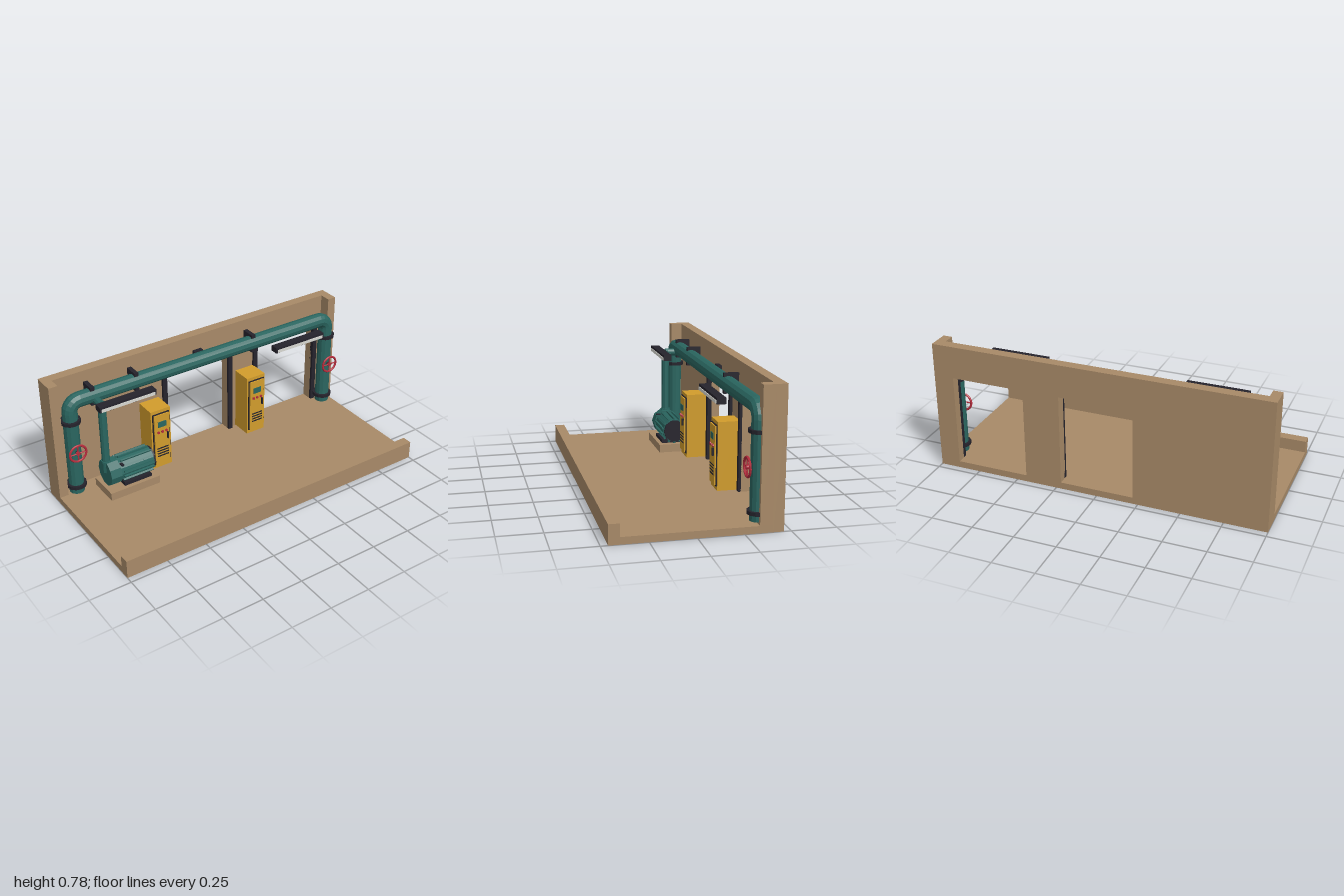
import * as THREE from 'three';

const mat = (color, flatShading = true) => new THREE.MeshStandardMaterial({ color, flatShading });
const STONE = mat(0xa88a68), TEAL = mat(0x2a6660), DARK = mat(0x25232c);
const YELLOW = mat(0xd19c2c), RED = mat(0xb42c3c), WHITE = mat(0xd8d8d2);

function add(parent, name, geometry, material, x = 0, y = 0, z = 0) {
  const mesh = new THREE.Mesh(geometry, material);
  mesh.name = name;
  mesh.position.set(x, y, z);
  parent.add(mesh);
  return mesh;
}

// Box given by its limits on each axis
function box(parent, name, material, [x0, x1], [y0, y1], [z0, z1]) {
  return add(parent, name, new THREE.BoxGeometry(x1 - x0, y1 - y0, z1 - z0), material,
    (x0 + x1) / 2, (y0 + y1) / 2, (z0 + z1) / 2);
}

// Cylinder between two points
function rod(parent, name, material, a, b, r, sides = 12) {
  const p = new THREE.Vector3(...a), d = new THREE.Vector3(...b).sub(p);
  const mesh = add(parent, name, new THREE.CylinderGeometry(r, r, d.length(), sides), material);
  mesh.position.copy(p).addScaledVector(d, 0.5);
  mesh.quaternion.setFromUnitVectors(new THREE.Vector3(0, 1, 0), d.normalize());
  return mesh;
}

function group(parent, name, x = 0, y = 0, z = 0) {
  const g = new THREE.Group();
  g.name = name;
  g.position.set(x, y, z);
  parent.add(g);
  return g;
}

const DOORS = [[-0.22, 0.22], [0.44, 0.88]];

function buildRoom(root) {
  const room = group(root, 'room');
  box(room, 'floor', STONE, [-1, 1], [0, 0.04], [-0.4, 0.4]);
  box(room, 'frontCurb', STONE, [-1, 1], [0, 0.112], [0.4, 0.46]);

  // Back wall with two doorways
  const rect = (C, x0, x1, y0, y1) => new C([[x0, y0], [x1, y0], [x1, y1], [x0, y1]]
    .map(p => new THREE.Vector2(...p)));
  const wall = rect(THREE.Shape, -1, 1, 0, 0.78);
  for (const [x0, x1] of DOORS) wall.holes.push(rect(THREE.Path, x0, x1, 0.04, 0.585));
  add(room, 'backWall', new THREE.ExtrudeGeometry(wall, { depth: 0.06, bevelEnabled: false }),
    STONE, 0, 0, -0.46);
  box(room, 'rightPier', STONE, [-1, -0.945], [0.04, 0.78], [-0.4, -0.33]);
  box(room, 'leftPier', STONE, [0.945, 1], [0.04, 0.78], [-0.4, -0.33]);

  // Door frames
  for (const [x0, x1] of DOORS) {
    const frame = group(room, 'doorFrame');
    box(frame, 'jamb', DARK, [x0 - 0.03, x0], [0.04, 0.585], [-0.41, -0.384]);
    box(frame, 'jamb', DARK, [x1, x1 + 0.03], [0.04, 0.585], [-0.41, -0.384]);
    box(frame, 'lintel', DARK, [x0 - 0.03, x1 + 0.03], [0.583, 0.612], [-0.41, -0.384]);
  }
  box(room, 'doorSignalBox', DARK, [-0.03, 0.03], [0.6, 0.685], [-0.4, -0.374]);
}

function buildPipes(root) {
  const pipes = group(root, 'mainPipe');
  const r = 0.045, bend = 0.06, y = 0.65, z = -0.337, left = 0.935, right = -0.885;
  rod(pipes, 'overheadPipe', TEAL, [right + bend, y, z], [left - bend, y, z], r);

  for (const [x, side] of [[left, 1], [right, -1]]) {
    rod(pipes, 'verticalPipe', TEAL, [x, 0.05, z], [x, y - bend, z], r);
    const elbow = add(pipes, 'elbow', new THREE.TorusGeometry(bend, r, 12, 5, Math.PI / 2),
      TEAL, x - side * bend, y - bend, z);
    if (side < 0) elbow.rotation.z = Math.PI / 2;
    for (const fy of [0.097, 0.53])
      rod(pipes, 'flange', DARK, [x, fy - 0.01, z], [x, fy + 0.01, z], 0.06);

    // Hand wheel on a short stem
    const valve = group(pipes, 'valve', x, 0.34, -0.275);
    add(valve, 'wheelRim', new THREE.TorusGeometry(0.052, 0.007, 6, 20), RED);
    rod(valve, 'wheelSpoke', RED, [-0.05, 0, 0], [0.05, 0, 0], 0.004, 6);
    rod(valve, 'wheelSpoke', RED, [0, -0.05, 0], [0, 0.05, 0], 0.004, 6);
    rod(valve, 'wheelHub', RED, [0, 0, -0.007], [0, 0, 0.007], 0.012, 8);
    rod(valve, 'valveStem', DARK, [0, 0, -0.03], [0, 0, 0], 0.008, 8);
  }

  // Wall brackets
  for (const x of [-0.745, -0.462, 0.356])
    box(pipes, 'pipeBracket', DARK, [x - 0.013, x + 0.013], [0.594, 0.71], [-0.4, -0.313]);
}

function buildPump(root) {
  const pump = group(root, 'pumpSet');
  const y = 0.174, z = -0.234;
  box(pump, 'plinth', STONE, [-0.765, -0.44], [0.04, 0.09], [-0.33, -0.135]);
  box(pump, 'baseRail', DARK, [-0.66, -0.48], [0.09, 0.11], [-0.308, -0.16]);
  rod(pump, 'pumpCasing', TEAL, [-0.745, y, z], [-0.675, y, z], 0.082, 10);
  rod(pump, 'motorBody', TEAL, [-0.675, y, z], [-0.455, y, z], 0.073, 12);
  rod(pump, 'fanCover', DARK, [-0.463, y, z], [-0.443, y, z], 0.07, 10);

  // Cooling fins around the motor
  for (let i = 0; i < 14; i++) {
    const a = i / 14 * Math.PI * 2;
    const fin = add(pump, 'coolingFin', new THREE.BoxGeometry(0.2, 0.014, 0.009), TEAL,
      -0.56, y + Math.cos(a) * 0.076, z + Math.sin(a) * 0.076);
    fin.rotation.x = a;
  }
  box(pump, 'casingLug', DARK, [-0.672, -0.655], [0.231, 0.239], [-0.19, -0.163]);

  // Riser from the pump to the overhead pipe
  const x = -0.733, rz = -0.238, top = 0.632, bend = 0.03;
  rod(pump, 'riser', TEAL, [x, 0.18, rz], [x, top - bend + 0.02, rz], 0.024, 10);
  rod(pump, 'riserFlange', TEAL, [x, 0.245, rz], [x, 0.258, rz], 0.03, 10);
  add(pump, 'riserElbow', new THREE.CylinderGeometry(0.026, 0.026, 0.04, 10), TEAL, x, top - 0.007, rz);
  rod(pump, 'riserBranch', TEAL, [x, top, rz], [x, top, -0.34], 0.024, 10);
}

function buildCabinet(root, x) {
  const cab = group(root, 'controlCabinet', x);
  box(cab, 'cabinetBody', YELLOW, [-0.066, 0.066], [0.045, 0.445], [-0.4, -0.27]);
  box(cab, 'doorSeal', DARK, [-0.057, 0.057], [0.07, 0.424], [-0.27, -0.264]);
  box(cab, 'cabinetDoor', YELLOW, [-0.051, 0.051], [0.076, 0.418], [-0.264, -0.256]);
  box(cab, 'screen', TEAL, [-0.028, 0.028], [0.335, 0.372], [-0.256, -0.252]);
  for (const bx of [-0.027, 0, 0.027])
    rod(cab, 'button', RED, [bx, 0.302, -0.256], [bx, 0.302, -0.248], 0.008, 8);
  box(cab, 'doorHandle', DARK, [0.031, 0.039], [0.245, 0.29], [-0.256, -0.244]);
  for (let i = 0; i < 4; i++) {
    const vy = 0.13 + i * 0.018;
    box(cab, 'ventSlot', DARK, [-0.038, 0.038], [vy, vy + 0.007], [-0.256, -0.253]);
  }
}

function buildLamp(root, x) {
  const lamp = group(root, 'lamp', x);
  box(lamp, 'lampHousing', DARK, [-0.18, 0.18], [0.635, 0.67], [-0.206, -0.156]);
  box(lamp, 'lampPanel', WHITE, [-0.17, 0.17], [0.638, 0.656], [-0.156, -0.152]);
}

export function createModel() {
  const root = new THREE.Group();
  root.name = 'pumpRoom';
  buildRoom(root);
  buildPipes(root);
  buildPump(root);
  for (const x of [-0.342, 0.347]) buildCabinet(root, x);
  for (const x of [-0.605, 0.595]) buildLamp(root, x);
  return root;
}
